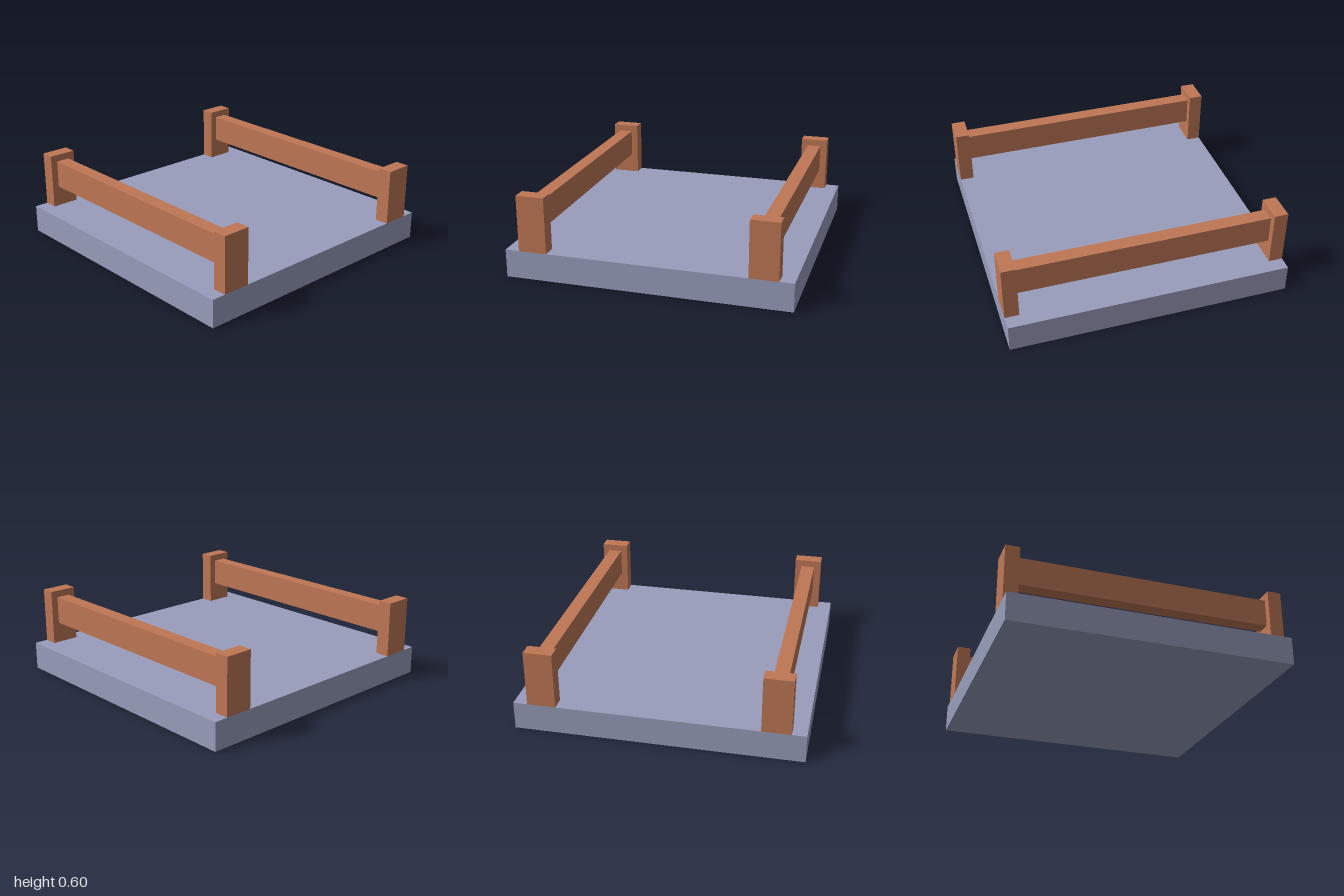
import * as THREE from 'three';

export function createModel() {
  const model = new THREE.Group();
  model.name = 'bridgeDeck';

  const stone = new THREE.MeshStandardMaterial({ color: 0x989dbb });
  stone.name = 'blueGreyStone';
  const wood = new THREE.MeshStandardMaterial({ color: 0xbf7755 });
  wood.name = 'brownWood';

  const addBox = (parent, name, material, size, position) => {
    const mesh = new THREE.Mesh(new THREE.BoxGeometry(...size), material);
    mesh.name = name;
    mesh.position.set(...position);
    parent.add(mesh);
  };

  // Square slab
  addBox(model, 'slab', stone, [2, 0.2, 2], [0, 0.1, 0]);

  // One railing along each side: a rail between two end posts
  for (const [side, x] of [['left', 0.8], ['right', -0.8]]) {
    const railing = new THREE.Group();
    railing.name = `${side}Railing`;
    railing.position.x = x;
    addBox(railing, 'rail', wood, [0.1, 0.2, 1.8], [0, 0.45, 0]);
    addBox(railing, 'frontPost', wood, [0.2, 0.4, 0.1], [0, 0.4, 0.95]);
    addBox(railing, 'backPost', wood, [0.2, 0.4, 0.1], [0, 0.4, -0.95]);
    model.add(railing);
  }

  return model;
}
